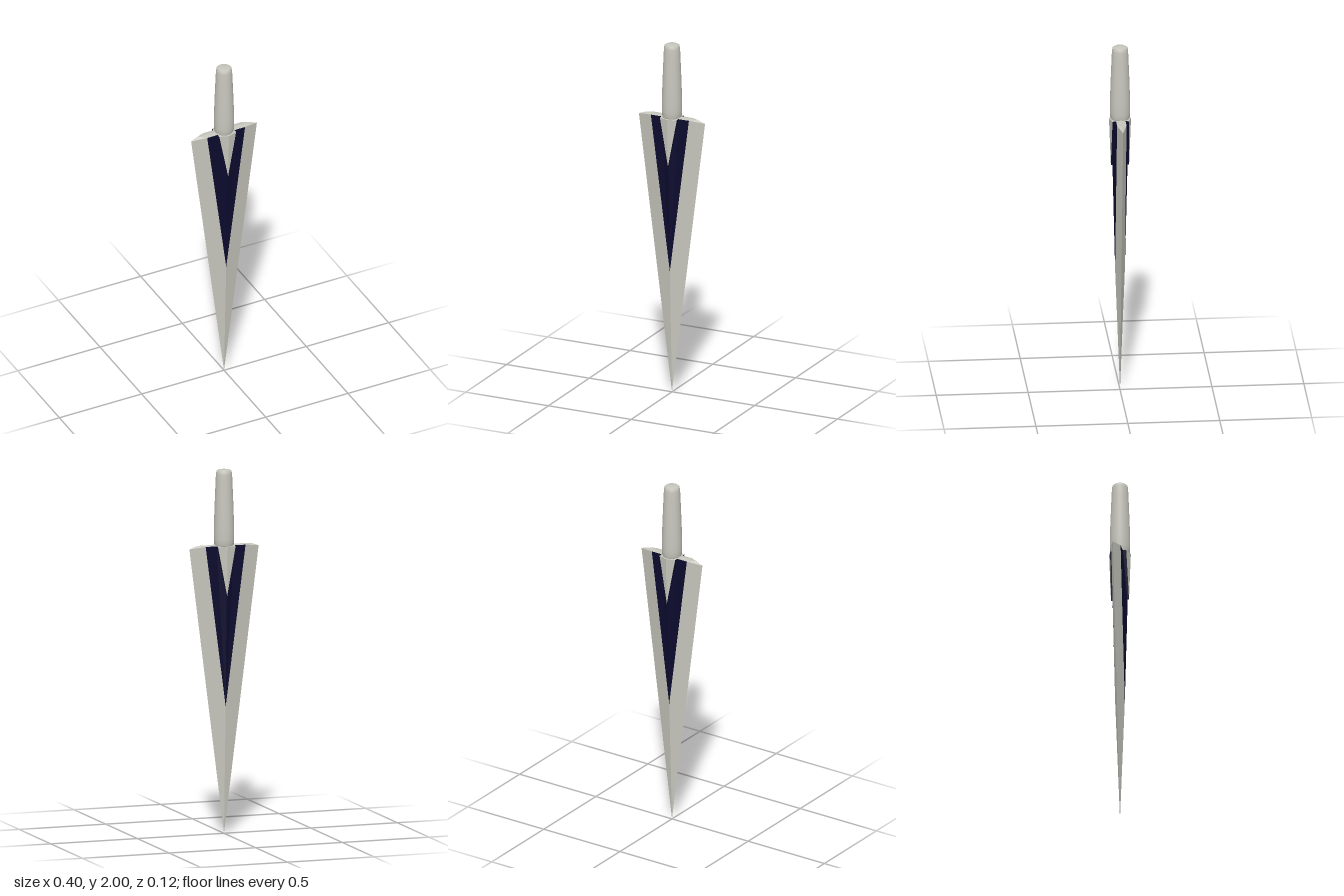
import * as THREE from 'three';

// Corners of one quarter of the blade (+x, +z)
const P = {
  tip: [0, 0, 0],
  edge: [0.2, 1.572, 0],             // outer cutting edge at the shoulder
  ridge: [0, 1.582, 0.06],           // central ridge at the shoulder
  grooveLow: [0, 0.7, 0.0266],       // lower end of the groove
  grooveOut: [0.115, 1.584, 0.0258], // outer top corner of the groove
  grooveIn: [0.051, 1.584, 0.0258],  // inner top corner of the groove
  grooveMid: [0, 1.31, 0.041],       // groove floor under the wedge point
  wedgeLow: [0, 1.31, 0.0498],       // point of the raised wedge
  wedgeOut: [0.051, 1.582, 0.0447],  // outer top corner of the wedge
  capEdge: [0.155, 1.588, 0],
  capMid: [0, 1.588, 0],
};

// Builds flat triangles for a quarter and mirrors them to all four quarters
function mirrored(triangles) {
  const pos = [];
  for (const sx of [1, -1]) {
    for (const sz of [1, -1]) {
      for (const [a, b, c] of triangles) {
        const order = sx * sz > 0 ? [a, b, c] : [a, c, b];
        for (const k of order) pos.push(P[k][0] * sx, P[k][1], P[k][2] * sz);
      }
    }
  }
  const g = new THREE.BufferGeometry();
  g.setAttribute('position', new THREE.Float32BufferAttribute(pos, 3));
  g.computeVertexNormals();
  return g;
}

export function createModel() {
  const group = new THREE.Group();
  const steel = new THREE.MeshStandardMaterial({ color: 0xc6c6bd });
  steel.name = 'pale steel';
  const navy = new THREE.MeshStandardMaterial({ color: 0x0b0b2e });
  navy.name = 'dark navy';

  const add = (name, geometry, material) => {
    const mesh = new THREE.Mesh(geometry, material);
    mesh.name = name;
    group.add(mesh);
  };

  // Four-sided tapering blade
  add('blade', mirrored([
    ['tip', 'edge', 'grooveOut'],
    ['tip', 'grooveOut', 'grooveLow'],
  ]), steel);

  // Raised wedge inside each groove
  add('wedge', mirrored([['wedgeLow', 'wedgeOut', 'ridge']]), steel);

  // V-shaped grooves with the walls of the wedge
  add('groove', mirrored([
    ['grooveLow', 'grooveOut', 'grooveIn'],
    ['grooveLow', 'grooveIn', 'grooveMid'],
    ['grooveMid', 'grooveIn', 'wedgeOut'],
    ['grooveMid', 'wedgeOut', 'wedgeLow'],
  ]), navy);

  // Shoulder closing the top of the blade
  add('shoulder', mirrored([
    ['edge', 'capEdge', 'grooveOut'],
    ['capEdge', 'capMid', 'grooveOut'],
    ['capMid', 'grooveIn', 'grooveOut'],
    ['capMid', 'wedgeOut', 'grooveIn'],
    ['capMid', 'ridge', 'wedgeOut'],
  ]), steel);

  // Rounded, slightly tapering handle
  const profile = [
    [0, 1.574], [0.047, 1.575], [0.053, 1.59], [0.055, 1.62], [0.055, 1.68],
    [0.052, 1.78], [0.046, 1.93], [0.044, 1.975], [0.041, 1.992], [0.034, 1.998], [0, 2],
  ].map(([r, y]) => new THREE.Vector2(r, y));
  add('handle', new THREE.LatheGeometry(profile, 32), steel);

  return group;
}
